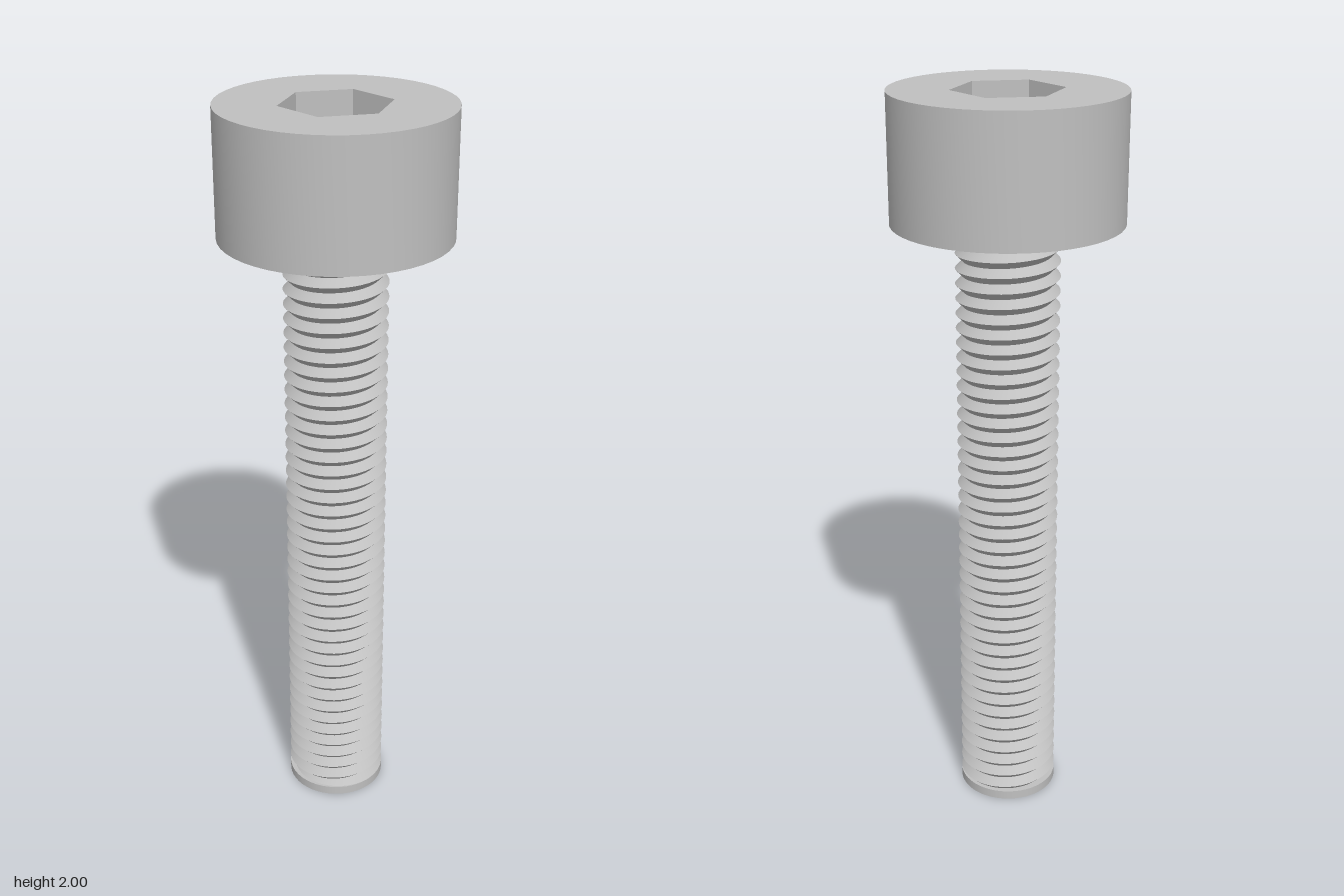
import * as THREE from 'three';
import { toCreasedNormals } from 'three/addons/utils/BufferGeometryUtils.js';

const HEAD_R = 0.3, HEAD_Y = 1.67, TOP = 2, SOCKET_R = 0.145, SOCKET_DEPTH = 0.17;
const CREST = 0.136, ROOT = 0.116, PITCH = 0.04, COLLAR = 0.025, SEG = 48;

// Right-handed V thread: rows follow the helix, alternating crest and root.
function threadGeometry(y0, y1) {
  const pos = [], index = [];
  const rows = Math.ceil((y1 - y0) / PITCH) * 2 + 2;
  for (let r = 0; r <= rows; r++) {
    for (let s = 0; s <= SEG; s++) {
      const turn = s / SEG, a = turn * Math.PI * 2;
      const y = THREE.MathUtils.clamp(y0 + (r / 2 - 1 + turn) * PITCH, y0, y1);
      const phase = (y - y0) / PITCH - turn + 1;
      const rad = ROOT + (CREST - ROOT) * Math.abs(2 * (phase - Math.floor(phase)) - 1);
      pos.push(Math.sin(a) * rad, y, Math.cos(a) * rad);
    }
  }
  const tri = (a, b, c) => {
    const ys = [a, b, c].map((i) => pos[i * 3 + 1]);
    if (Math.max(...ys) - Math.min(...ys) > 1e-6) index.push(a, b, c);
  };
  for (let r = 0; r < rows; r++) {
    for (let s = 0; s < SEG; s++) {
      const a = r * (SEG + 1) + s, b = a + 1, c = a + SEG + 1, d = c + 1;
      tri(a, b, d);
      tri(a, d, c);
    }
  }
  const geo = new THREE.BufferGeometry();
  geo.setAttribute('position', new THREE.Float32BufferAttribute(pos, 3));
  geo.setIndex(index);
  return toCreasedNormals(geo, 0.6);
}

// Points of a regular polygon with a corner pointing along z.
function polygon(radius, sides) {
  return Array.from({ length: sides }, (_, i) => {
    const a = (i / sides) * Math.PI * 2 + Math.PI / 2;
    return new THREE.Vector2(Math.cos(a) * radius, Math.sin(a) * radius);
  });
}

export function createModel() {
  const group = new THREE.Group();
  const steel = new THREE.MeshStandardMaterial({ color: 0xc0c0c0 });
  steel.name = 'steel';
  const add = (name, geo) => {
    const mesh = new THREE.Mesh(geo, steel);
    mesh.name = name;
    group.add(mesh);
    return mesh;
  };

  // Head: upper part pierced by the hexagonal socket
  const ring = new THREE.Shape(polygon(HEAD_R, SEG));
  ring.holes.push(new THREE.Path(polygon(SOCKET_R, 6).reverse()));
  const upper = new THREE.ExtrudeGeometry(ring, { depth: TOP - HEAD_Y, bevelEnabled: false });
  upper.rotateX(-Math.PI / 2).translate(0, HEAD_Y, 0);
  add('head', toCreasedNormals(upper, 0.6));

  // Floor of the socket
  const floor = new THREE.ShapeGeometry(new THREE.Shape(polygon(SOCKET_R, 6)));
  floor.rotateX(-Math.PI / 2).translate(0, TOP - SOCKET_DEPTH, 0);
  add('socketFloor', floor);

  // Threaded shank
  add('thread', threadGeometry(COLLAR, HEAD_Y));

  // Plain collar at the tip
  const collar = new THREE.CylinderGeometry(CREST, CREST, COLLAR, SEG);
  add('tipCollar', collar.translate(0, COLLAR / 2, 0));

  // Underside of the head inside the shank, closing the socket from below
  const under = new THREE.CircleGeometry(SOCKET_R + 0.01, SEG);
  add('headUnderside', under.rotateX(Math.PI / 2).translate(0, HEAD_Y - 0.001, 0));

  return group;
}
